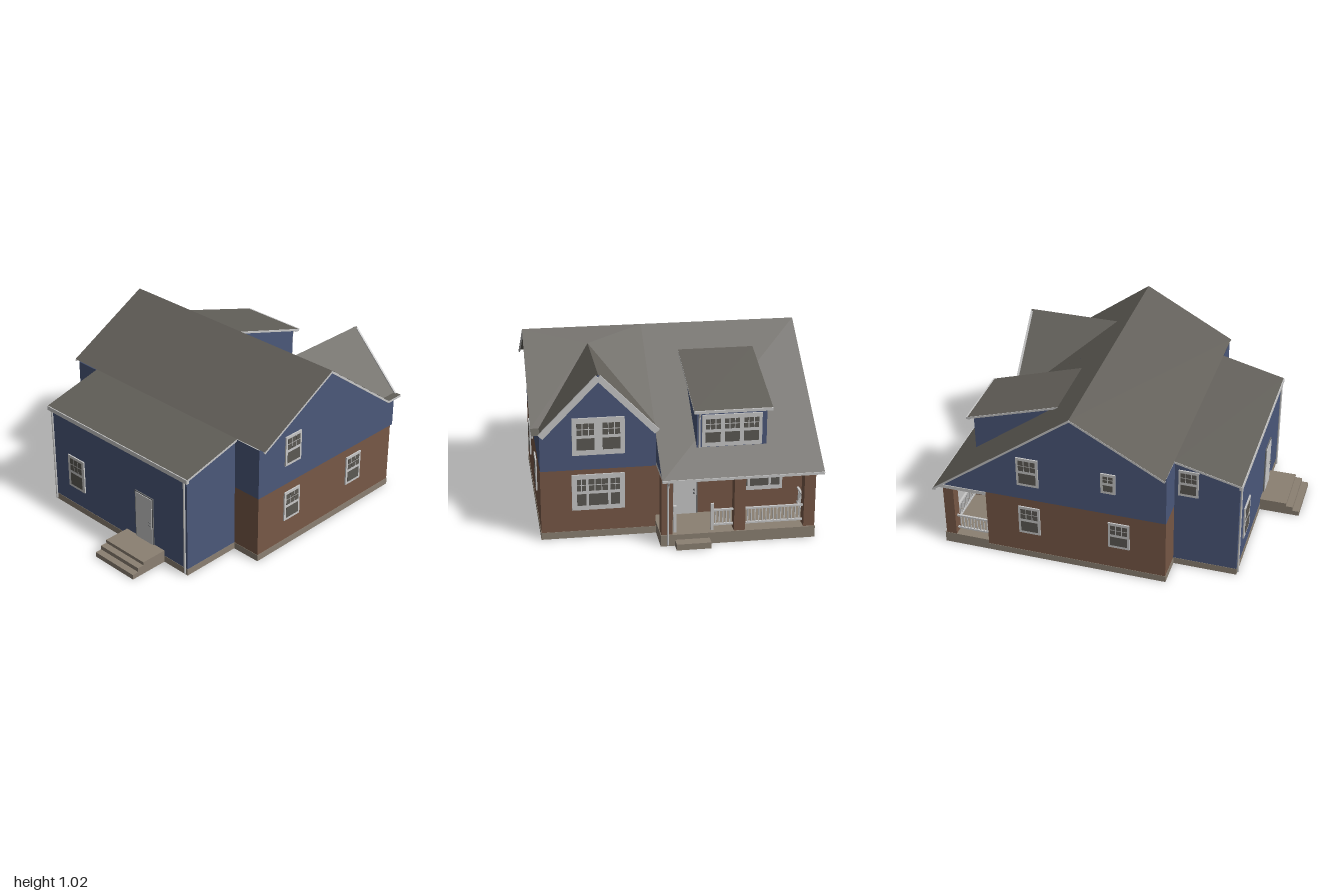
import * as THREE from 'three';

const mat = (name, color) => {
  const m = new THREE.MeshStandardMaterial({ color, side: THREE.DoubleSide });
  m.name = name;
  return m;
};

export function createModel() {
  const house = new THREE.Group();
  house.name = 'house';
  const roofM = mat('roof shingle', 0x625f59);
  const blue = mat('blue siding', 0x4b587a);
  const brick = mat('brick', 0x775846);
  const white = mat('white trim', 0xc8c8c8);
  const stone = mat('foundation stone', 0x8b8072);
  const glass = mat('window glass', 0x5c5954);
  const metal = mat('dark metal', 0x6c6e70);

  const add = (name, geo, m, parent = house) => {
    const mesh = new THREE.Mesh(geo, m);
    mesh.name = name;
    parent.add(mesh);
    return mesh;
  };
  // flat sheet, fanned from its first corner
  const sheet = (name, m, pts) => {
    const pos = [];
    for (let i = 1; i < pts.length - 1; i++) pos.push(...pts[0], ...pts[i], ...pts[i + 1]);
    const g = new THREE.BufferGeometry();
    g.setAttribute('position', new THREE.Float32BufferAttribute(pos, 3));
    g.computeVertexNormals();
    return add(name, g, m);
  };
  // sheets standing in a plane of constant z or constant x
  const wallZ = (name, m, z, pts) => sheet(name, m, pts.map(([x, y]) => [x, y, z]));
  const wallX = (name, m, x, pts) => sheet(name, m, pts.map(([z, y]) => [x, y, z]));
  const rect = (a, b, y0, y1) => [[a, y0], [b, y0], [b, y1], [a, y1]];
  // box given by its ranges
  const box = (name, m, [x0, x1], [y0, y1], [z0, z1], parent = house) => {
    const mesh = add(name, new THREE.BoxGeometry(Math.abs(x1 - x0), y1 - y0, Math.abs(z1 - z0)), m, parent);
    mesh.position.set((x0 + x1) / 2, (y0 + y1) / 2, (z0 + z1) / 2);
    return mesh;
  };
  // bar running between two points
  const bar = (name, m, a, b, w, h) => {
    const A = new THREE.Vector3(...a), B = new THREE.Vector3(...b);
    const mesh = add(name, new THREE.BoxGeometry(w, h, A.distanceTo(B)), m);
    mesh.position.copy(A).add(B).multiplyScalar(0.5);
    mesh.lookAt(B);
    return mesh;
  };

  // ---- main walls
  const L = 0.74, R = -0.745, BK = -0.39, PW = 0.67;
  wallZ('leftBrickWall', brick, L, rect(BK, 0.76, 0.04, 0.41));
  wallZ('leftUpperWall', blue, L,
    [[0.68, 0.615], [0.145, 1.01], [BK, 0.72], [BK, 0.41], [0.78, 0.41], [0.78, 0.615]]);
  wallZ('rightBrickWall', brick, R, rect(BK, PW, 0.04, 0.41));
  wallZ('rightUpperWall', blue, R, [[0.145, 1.01], [BK, 0.72], [BK, 0.41], [0.955, 0.41]]);
  for (const [a, b] of [[R, -0.57], [0.56, L]]) {
    wallX('rearBrickWall', brick, BK, rect(a, b, 0.04, 0.41));
    wallX('rearUpperWall', blue, BK, rect(a, b, 0.41, 0.72));
  }
  // projecting gable bay
  wallX('bayBrickWall', brick, 0.76, rect(0.11, L, 0.04, 0.41));
  wallX('bayGableWall', blue, 0.78, [[0.425, 0.94], [0.11, 0.615], [0.11, 0.41], [L, 0.41], [L, 0.615]]);
  wallZ('bayInnerBrick', brick, 0.11, rect(PW, 0.76, 0.04, 0.41));
  wallZ('bayInnerSiding', blue, 0.11, rect(PW, 0.78, 0.41, 0.62));
  sheet('bayOverhang', white, [[0.76, 0.41, 0.11], [0.78, 0.41, 0.11], [0.78, 0.41, L], [0.76, 0.41, L]]);
  // porch back wall and the roof end above it
  wallX('porchWall', brick, PW, rect(R, 0.11, 0.04, 0.41));
  wallZ('porchRoofEnd', blue, 0.103, [[PW, 0.41], [0.955, 0.41], [PW, 0.62]]);
  // rear wing
  wallX('wingRearWall', blue, -0.76, rect(-0.57, 0.56, 0.04, 0.63));
  for (const z of [-0.57, 0.56])
    wallZ('wingSideWall', blue, z, [[-0.76, 0.04], [BK, 0.04], [BK, 0.72], [-0.76, 0.63]]);

  // ---- foundation strips
  const f = 0.002, t = 0.03;
  box('foundation', stone, [BK - f, 0.76 + f], [0, 0.04], [L + f, L - t]);
  box('foundation', stone, [BK - f, PW], [0, 0.04], [R - f, R + t]);
  box('foundation', stone, [0.76 + f, 0.76 - t], [0, 0.04], [0.11, L]);
  box('foundation', stone, [PW, 0.76], [0, 0.04], [0.108, 0.108 + t]);
  box('foundation', stone, [BK - f, BK + t], [0, 0.04], [R, -0.57]);
  box('foundation', stone, [BK - f, BK + t], [0, 0.04], [0.56, L]);
  box('foundation', stone, [-0.76 - f, -0.76 + t], [0, 0.04], [-0.572, 0.562]);
  for (const [z, s] of [[-0.572, t], [0.562, -t]])
    box('foundation', stone, [-0.76, BK], [0, 0.04], [z, z + s]);

  // ---- roofs
  const ridge = [0.145, 1.02], eave = [0.98, 0.4], kink = 0.68, ky = 0.623;
  const slope = (name, a, b, z0, z1) =>
    sheet(name, roofM, [[...a, z0], [...a, z1], [...b, z1], [...b, z0]]);
  slope('rearRoof', ridge, [BK, 0.725], -0.78, 0.78);
  slope('wingRoof', [BK, 0.725], [-0.77, 0.63], -0.585, 0.575);
  slope('porchSideRoof', ridge, eave, -0.78, 0.105);
  const peak = [0.24, 0.95, 0.42];
  sheet('baySideRoof', roofM, [peak, [kink, ky, 0.105], [...ridge, 0.105], [...ridge, 0.78],
    [kink, ky, 0.78], [kink, ky, 0.735]]);
  sheet('eaveReturn', roofM, [[kink, ky, 0.735], [0.79, ky, 0.735], [0.79, ky, 0.78], [kink, ky, 0.78]]);
  for (const z of [0.105, 0.735]) {
    sheet('gableRoof', roofM, [peak, [0.79, 0.95, 0.42], [0.79, ky, z], [kink, ky, z]]);
    bar('gableRake', white, [0.784, 0.932, 0.42], [0.784, ky - 0.012, z], 0.012, 0.034);
  }
  // rake and eave trim
  const drop = 0.008;
  const rake = (a, b, z) => bar('rakeTrim', white, [a[0], a[1] - drop, z], [b[0], b[1] - drop, z], 0.008, 0.012);
  for (const z of [-0.776, 0.776]) rake(ridge, [BK, 0.725], z);
  rake(ridge, eave, -0.776);
  rake(ridge, [kink, ky], 0.776);
  rake([kink, ky], [0.79, ky], 0.776);
  rake([kink, ky], eave, 0.101);
  for (const z of [-0.581, 0.571]) rake([BK, 0.725], [-0.77, 0.63], z);
  box('wingGutter', white, [-0.775, -0.758], [0.603, 0.629], [-0.585, 0.575]);
  box('porchGutter', white, [0.962, 0.982], [0.388, 0.402], [-0.78, 0.105]);

  // ---- shed dormer
  const dTop = [0.3, 0.908], dEave = [0.855, 0.737];
  slope('dormerRoof', dTop, dEave, -0.515, -0.085);
  wallX('dormerFront', blue, 0.82, rect(-0.49, -0.105, 0.515, 0.746));
  for (const z of [-0.49, -0.105])
    wallZ('dormerCheek', blue, z, [[0.82, 0.51], [0.82, 0.746], [0.31, 0.9]]);
  for (const z of [-0.511, -0.089]) rake(dTop, dEave, z);
  box('dormerGutter', white, [0.832, 0.857], [0.724, 0.739], [-0.515, -0.085]);

  // ---- porch
  box('porchFloor', stone, [PW, 0.94], [0.045, 0.065], [R - f, 0.108]);
  box('porchBase', stone, [0.91, 0.94], [0, 0.045], [R - f, 0.108]);
  for (const [a, b] of [[R - f, R + t], [0.078, 0.108]]) box('porchBase', stone, [PW, 0.91], [0, 0.045], [a, b]);
  box('porchCeiling', white, [PW, 0.962], [0.388, 0.409], [-0.748, 0.102]);
  box('porchStep', stone, [0.94, 1], [0, 0.035], [-0.16, 0.03]);
  for (const z of [-0.714, -0.327, 0.073]) box('porchColumn', brick, [0.87, 0.932], [0.065, 0.39], [z - 0.031, z + 0.031]);
  for (const z of [0.025, -0.18]) box('newelPost', white, [0.893, 0.909], [0.065, 0.22], [z - 0.008, z + 0.008]);
  const railing = (a, b) => {
    const A = new THREE.Vector3(...a), B = new THREE.Vector3(...b);
    for (const y of [0.095, 0.18]) bar('rail', white, [a[0], y, a[2]], [b[0], y, b[2]], 0.012, 0.01);
    const n = Math.round(A.distanceTo(B) / 0.021);
    for (let i = 1; i < n; i++) {
      const p = A.clone().lerp(B, i / n);
      box('baluster', white, [p.x - 0.003, p.x + 0.003], [0.095, 0.18], [p.z - 0.003, p.z + 0.003]);
    }
  };
  railing([0.901, 0, -0.18], [0.901, 0, -0.297]);
  railing([0.901, 0, -0.357], [0.901, 0, -0.684]);
  railing([PW, 0, -0.714], [0.87, 0, -0.714]);

  // ---- back steps
  [[-1, 0, 0.03], [-0.96, 0.03, 0.055], [-0.92, 0.055, 0.075]].forEach(([x, y0, y1]) =>
    box('backStep', stone, [x, -0.76], [y0, y1], [0.065, 0.375]));

  // ---- windows: sashes are [centre, width, columns]; panes show on both faces
  const place = (name, x, y, z, turn) => {
    const g = new THREE.Group();
    g.name = name;
    g.position.set(x, y, z);
    g.rotation.y = turn * Math.PI / 2;
    house.add(g);
    return g;
  };
  const makeWindow = (x, y, z, turn, w, h, sashes, margin = 0.016) => {
    const g = place('window', x, y, z, turn);
    box('windowFrame', white, [-w / 2, w / 2], [-h / 2, h / 2], [-0.008, 0.008], g);
    const ph = h / 2 - margin - 0.009, gap = 0.005;
    for (const [c, sw, cols] of sashes) {
      box('lowerPane', glass, [c - sw / 2, c + sw / 2], [margin - h / 2, margin - h / 2 + ph], [-0.0095, 0.0095], g);
      const pw = (sw - gap * (cols - 1)) / cols, rh = (ph - gap) / 2;
      for (let i = 0; i < cols; i++) for (let j = 0; j < 2; j++) {
        const x0 = c - sw / 2 + i * (pw + gap), y0 = 0.009 + j * (rh + gap);
        box('upperPane', glass, [x0, x0 + pw], [y0, y0 + rh], [-0.0095, 0.0095], g);
      }
    }
  };
  const single = [[0, 0.1, 3]], small = [[0, 0.055, 2]];
  const triple = [[-0.092, 0.05, 2], [0, 0.105, 3], [0.092, 0.05, 2]];
  for (const [x, y] of [[-0.118, 0.625], [-0.118, 0.265], [0.418, 0.265]]) makeWindow(x, y, L, 0, 0.128, 0.185, single);
  for (const [x, y] of [[0.41, 0.6], [0.41, 0.265]]) makeWindow(x, y, R, 2, 0.128, 0.185, single);
  makeWindow(-0.06, 0.62, R, 2, 0.085, 0.13, small);
  makeWindow(-0.12, 0.27, R, 2, 0.125, 0.17, single);
  makeWindow(-0.47, 0.58, -0.57, 2, 0.115, 0.17, [[0, 0.09, 3]]);
  makeWindow(-0.76, 0.26, -0.36, 3, 0.14, 0.21, single);
  makeWindow(0.76, 0.27, 0.425, 1, 0.29, 0.208, triple, 0.027);
  makeWindow(PW, 0.28, -0.488, 1, 0.265, 0.19, triple, 0.025);
  makeWindow(0.78, 0.602, 0.423, 1, 0.285, 0.212, [[-0.07, 0.095, 3], [0.07, 0.095, 3]], 0.03);
  makeWindow(0.82, 0.614, -0.298, 1, 0.33, 0.182, [-0.105, 0, 0.105].map((c) => [c, 0.082, 3]), 0.024);

  // ---- doors
  const door = (x, y, z, turn) => {
    const g = place('door', x, y, z, turn);
    box('doorFrame', metal, [-0.073, 0.073], [0, 0.303], [-0.006, 0.006], g);
    box('doorPanel', white, [-0.065, 0.065], [0, 0.296], [-0.01, 0.01], g);
    for (const ky2 of [0.125, 0.145]) {
      const knob = add('doorKnob', new THREE.SphereGeometry(0.006, 10, 8), metal, g);
      knob.position.set(0.052, ky2, 0.013);
    }
  };
  door(PW, 0.066, -0.066, 1);
  door(-0.76, 0.075, 0.22, 3);

  // ---- downspouts
  const spout = (pts) => {
    const path = new THREE.CatmullRomCurve3(pts.map((p) => new THREE.Vector3(...p)), false, 'catmullrom', 0.2);
    add('downspout', new THREE.TubeGeometry(path, 24, 0.006, 8), white);
  };
  spout([[0.972, 0.395, 0.07], [0.97, 0.38, 0.07], [0.946, 0.35, 0.07], [0.946, 0.01, 0.07]]);
  spout([[0.845, 0.73, -0.118], [0.84, 0.71, -0.118], [0.828, 0.69, -0.118], [0.828, 0.52, -0.118]]);
  for (const z of [-0.555, 0.545]) spout([[-0.768, 0.61, z], [-0.767, 0.56, z], [-0.767, 0.01, z]]);

  return house;
}
